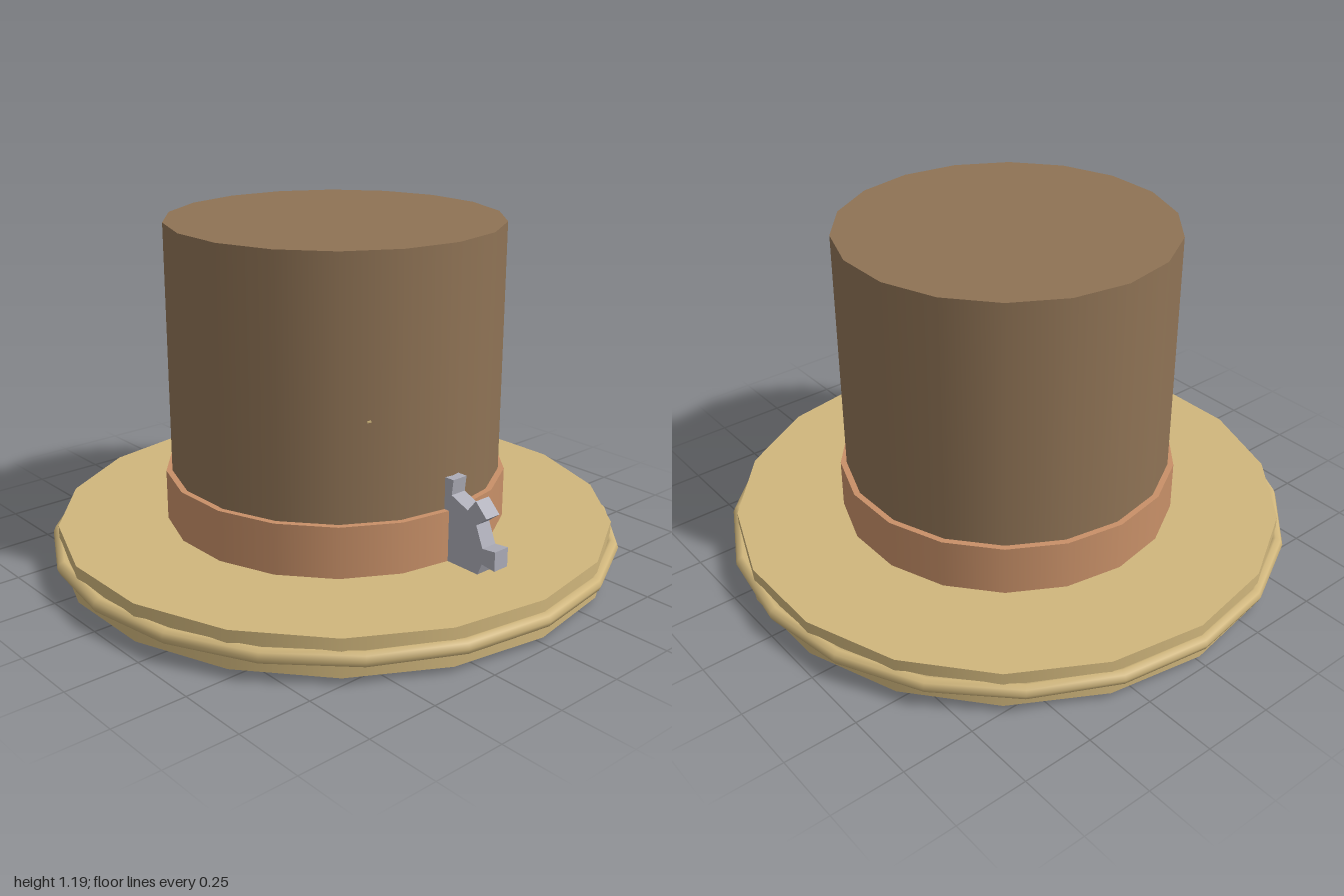
import * as THREE from 'three';

const mat = (color) => new THREE.MeshStandardMaterial({ color });

export function createModel() {
  const hat = new THREE.Group();
  hat.name = 'topHat';
  const felt = mat(0x8f7355), straw = mat(0xd0b67c), leather = mat(0xc89068), metal = mat(0xadadb8);

  const add = (name, geometry, material, x = 0, y = 0, z = 0) => {
    const mesh = new THREE.Mesh(geometry, material);
    mesh.name = name;
    mesh.position.set(x, y, z);
    hat.add(mesh);
    return mesh;
  };

  // Stacked 18-sided drums, each with a corner on the x axis
  const drum = (name, radius, bottom, top, material) => add(name,
    new THREE.CylinderGeometry(radius, radius, top - bottom, 18, 1, false, Math.PI / 2),
    material, 0, (bottom + top) / 2);
  drum('brim', 0.972, 0.023, 0.152, straw);
  drum('band', 0.595, 0.15, 0.328, leather);
  drum('crown', 0.574, 0.15, 1.194, felt);

  // Rounded piping around the brim
  add('brimPiping', new THREE.TorusGeometry(0.975, 0.025, 8, 20), straw, 0, 0.087)
    .rotation.x = Math.PI / 2;

  // Eight-toothed gear tucked into the band, teeth slightly flared
  const teeth = 8, outline = [];
  for (let i = 0; i < teeth; i++) {
    const a = (i / teeth) * Math.PI * 2;
    for (const [r, w] of [[0.165, -0.027], [0.218, -0.033], [0.218, 0.033], [0.165, 0.027]]) {
      outline.push(new THREE.Vector2(
        r * Math.cos(a) - w * Math.sin(a),
        r * Math.sin(a) + w * Math.cos(a)));
    }
  }
  const gear = new THREE.ExtrudeGeometry(new THREE.Shape(outline), { depth: 0.06, bevelEnabled: false });
  gear.translate(0, 0, -0.03);
  add('gear', gear, metal, 0.572, 0.22);

  // Tiny stud barely breaking the crown's side
  add('stud', new THREE.BoxGeometry(0.012, 0.006, 0.012), straw, 0.486, 0.663, 0.287)
    .rotation.y = -Math.PI / 6;

  return hat;
}
